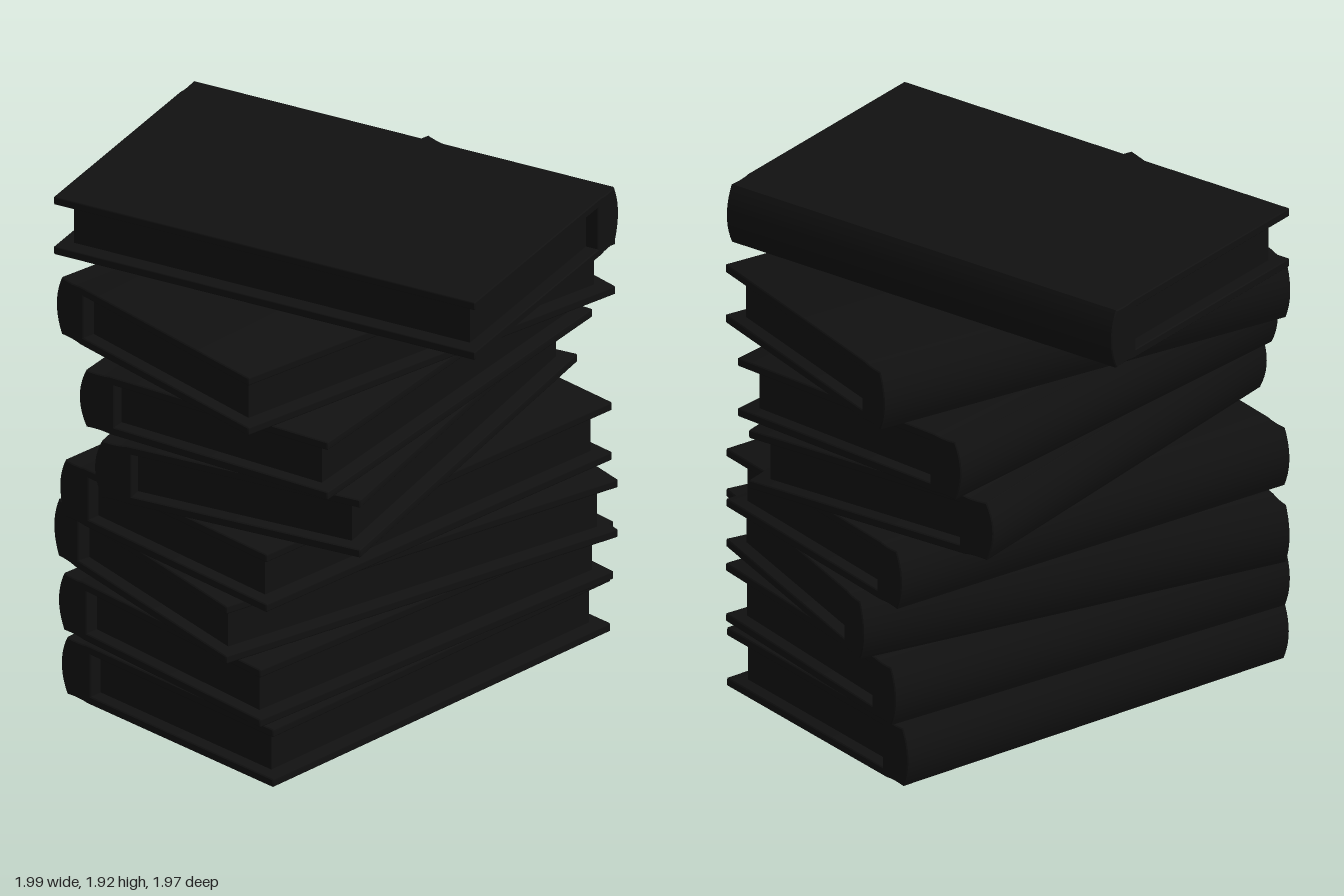
import * as THREE from 'three';
import { toCreasedNormals } from 'three/addons/utils/BufferGeometryUtils.js';

const LENGTH = 1.745, HEIGHT = 0.236, BOARD = 0.033;
const FORE = 0.54, HINGE = -0.39, SHOULDER = -0.51, BULGE = -0.54;

// C-shaped binding: two boards joined by a solid rounded spine, extruded along its length
function coverGeometry() {
  const r = 0.006, H = HEIGHT;
  const s = new THREE.Shape();
  s.moveTo(HINGE, BOARD);
  s.lineTo(FORE - r, BOARD);
  s.quadraticCurveTo(FORE, BOARD, FORE, BOARD - r);
  s.lineTo(FORE, r);
  s.quadraticCurveTo(FORE, 0, FORE - r, 0);
  s.lineTo(HINGE - 0.02, 0);
  s.quadraticCurveTo(-0.45, 0.008, SHOULDER, 0.002);
  s.quadraticCurveTo(2 * BULGE - SHOULDER, H / 2, SHOULDER, H - 0.002);
  s.quadraticCurveTo(-0.45, H - 0.008, HINGE - 0.02, H);
  s.lineTo(FORE - r, H);
  s.quadraticCurveTo(FORE, H, FORE, H - r);
  s.lineTo(FORE, H - BOARD + r);
  s.quadraticCurveTo(FORE, H - BOARD, FORE - r, H - BOARD);
  s.lineTo(HINGE, H - BOARD);
  s.closePath();

  const b = 0.004;
  const g = new THREE.ExtrudeGeometry(s, {
    depth: LENGTH - 2 * b, curveSegments: 10,
    bevelEnabled: true, bevelSize: b, bevelThickness: b, bevelOffset: -b, bevelSegments: 1,
  });
  // profile x becomes z, extrusion becomes x
  g.translate(0, 0, -LENGTH / 2 + b);
  g.rotateY(-Math.PI / 2);
  return toCreasedNormals(g, 0.5);
}

// Page block, set in from the boards on three sides
function pagesGeometry() {
  const front = 0.48, back = HINGE - 0.01;
  const g = new THREE.BoxGeometry(1.64, HEIGHT - 2 * BOARD + 0.004, front - back);
  g.translate(0, HEIGHT / 2, (front + back) / 2);
  return g;
}

export function createModel() {
  const model = new THREE.Group();
  model.name = 'bookStack';
  const material = new THREE.MeshStandardMaterial({ color: 0x111111 });
  const cover = coverGeometry(), pages = pagesGeometry();

  // Turn of each book in degrees, from the bottom up
  const turns = [0, -2.7, -10, -1.4, 17.8, 11.2, -5.2, -74.2];
  turns.forEach((turn, i) => {
    const book = new THREE.Group();
    book.name = `book${i + 1}`;
    const binding = new THREE.Mesh(cover, material);
    binding.name = 'cover';
    const block = new THREE.Mesh(pages, material);
    block.name = 'pages';
    book.add(binding, block);
    // the top book rests slightly clear of the rest
    book.position.y = i === 7 ? 1.688 : i * 0.237;
    book.rotation.y = THREE.MathUtils.degToRad(turn);
    model.add(book);
  });
  return model;
}
